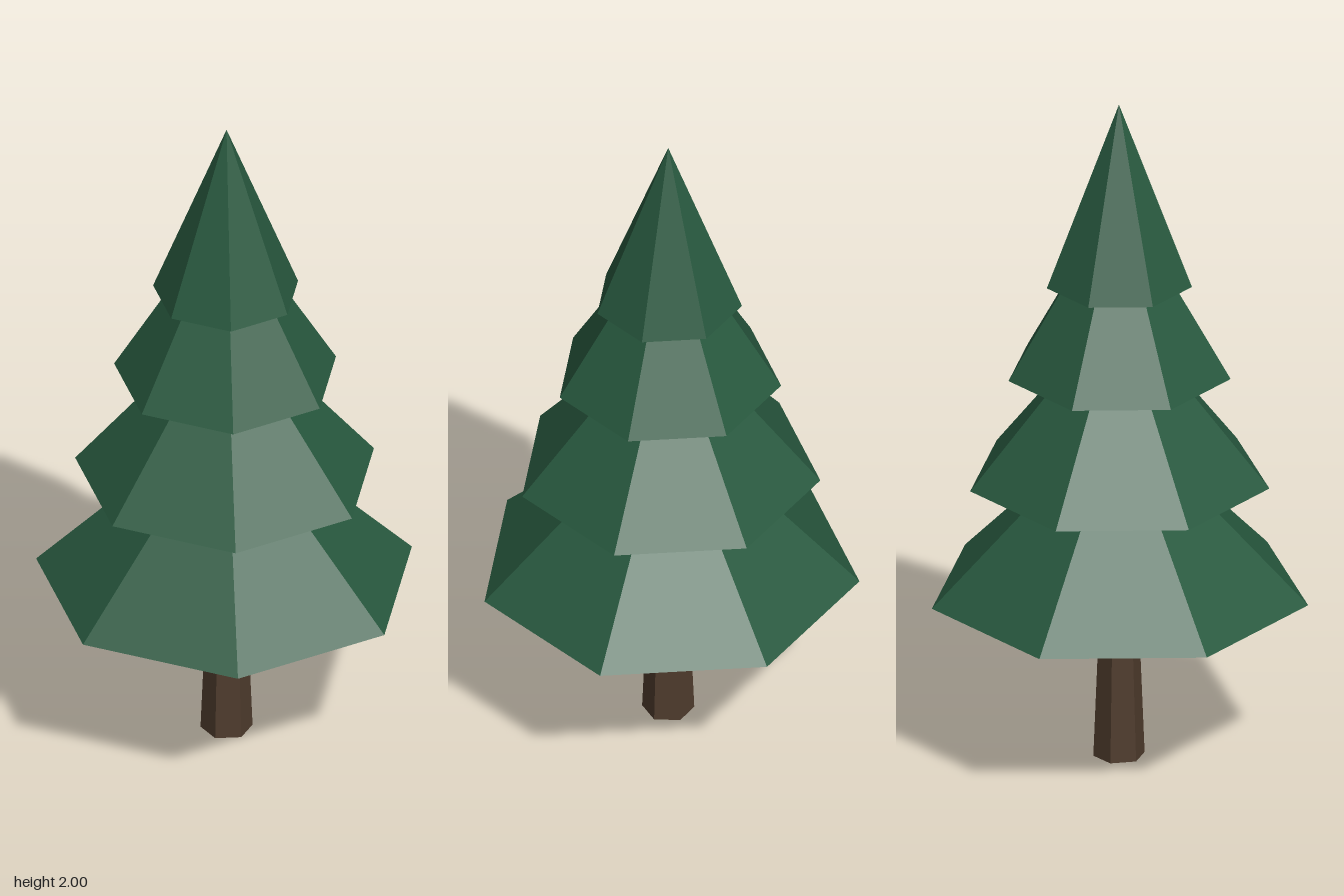
import * as THREE from 'three';

export function createModel() {
  const tree = new THREE.Group();
  tree.name = 'pineTree';

  const needles = new THREE.MeshStandardMaterial({ color: 0x28593f, flatShading: true });
  needles.name = 'needleGreen';
  const bark = new THREE.MeshStandardMaterial({ color: 0x4f3c2d, flatShading: true });
  bark.name = 'barkBrown';

  // Shared axis, offset so the seven-sided crown is centred
  const axisX = -0.007, axisZ = 0.02;

  function add(name, geometry, material, y) {
    const mesh = new THREE.Mesh(geometry, material);
    mesh.name = name;
    mesh.position.set(axisX, y, axisZ);
    tree.add(mesh);
  }

  // Tapered six-sided trunk
  add('trunk', new THREE.CylinderGeometry(0.056, 0.074, 0.45, 6), bark, 0.225);

  // Overlapping seven-sided branch tiers: base height, radius, cone height
  const tiers = [
    [0.504, 0.547, 0.55],
    [0.854, 0.435, 0.53],
    [1.182, 0.323, 0.545],
    [1.456, 0.211, 0.544],
  ];
  tiers.forEach(([base, radius, height], i) => {
    const cone = new THREE.ConeGeometry(radius, height, 7, 1, false, 0.508);
    add(`branchTier${i + 1}`, cone, needles, base + height / 2);
  });

  return tree;
}
